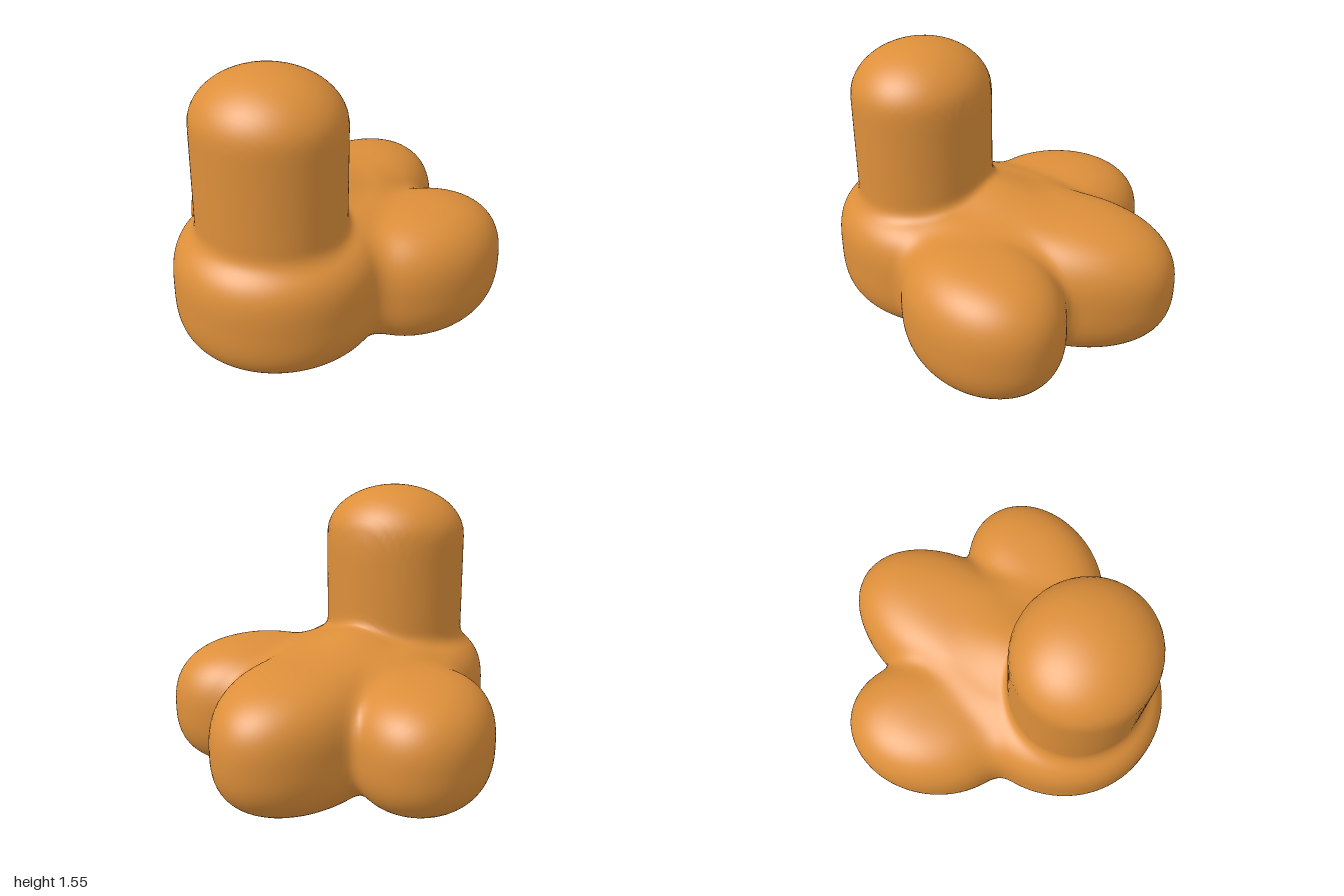
import * as THREE from 'three';
import { mergeVertices } from 'three/addons/utils/BufferGeometryUtils.js';

// Rounded lobes of the base: centre, radii, turn about y, and squareness of the upright section
const lobes = [
  { c: [0, 0.355, 0.4], r: [0.57, 0.375, 0.6], turn: 0, n: 3.3 },         // front
  { c: [0, 0.34, -0.35], r: [0.42, 0.385, 0.65], turn: 0, n: 2.7 },       // back
  { c: [0.555, 0.33, -0.12], r: [0.385, 0.365, 0.5], turn: 0.45, n: 2.6 },  // left
  { c: [-0.555, 0.335, -0.12], r: [0.39, 0.345, 0.49], turn: -0.45, n: 2.6 }, // right
  { c: [0, 0.36, 0.05], r: [0.45, 0.36, 0.5], turn: 0, n: 4 },            // core
  { c: [0, 0.36, 0.1], r: [0.35, 0.43, 0.5], turn: 0, n: 2 },             // slope behind the column
];

// Approximate distance to one lobe
function lobeDistance(p, { c, r, turn, n }) {
  const x = p.x - c[0], z = p.z - c[2];
  const cos = Math.cos(turn), sin = Math.sin(turn);
  const plan = Math.hypot((x * cos + z * sin) / r[0], (z * cos - x * sin) / r[2]);
  const up = Math.abs(p.y - c[1]) / r[1];
  return (Math.pow(plan ** n + up ** n, 1 / n) - 1) * Math.min(...r);
}

// Upright round column with a low domed top
function columnDistance(p) {
  const plan = Math.hypot(p.x / 0.405, (p.z - 0.49) / 0.38);
  const end = (Math.max(p.y - 1.275, 0) + Math.min(p.y - 0.45, 0)) / 0.282;
  return (Math.hypot(plan, end) - 1) * 0.38;
}

// Union with a soft fillet of size k
function blend(a, b, k) {
  const h = Math.max(k - Math.abs(a - b), 0) / k;
  return Math.min(a, b) - h * h * k * 0.25;
}

function bodyDistance(p) {
  let d = lobeDistance(p, lobes[0]);
  for (let i = 1; i < lobes.length; i++) d = blend(d, lobeDistance(p, lobes[i]), 0.07);
  return blend(d, columnDistance(p), 0.05);
}

// Push every vertex of a sphere outward until it reaches the blended surface
function bodyGeometry() {
  const sphere = new THREE.IcosahedronGeometry(1, 40);
  sphere.deleteAttribute('uv');
  sphere.deleteAttribute('normal');
  const geometry = mergeVertices(sphere, 1e-5);
  const pos = geometry.attributes.position;
  const centre = new THREE.Vector3(0, 0.36, 0.3);
  const dir = new THREE.Vector3(), p = new THREE.Vector3();
  const at = (t) => bodyDistance(p.copy(centre).addScaledVector(dir, t));
  for (let i = 0; i < pos.count; i++) {
    dir.fromBufferAttribute(pos, i).normalize();
    let near = 0, far = 0.02;
    while (far < 2 && at(far) < 0) { near = far; far += 0.02; }
    for (let k = 0; k < 14; k++) {
      const mid = (near + far) / 2;
      if (at(mid) < 0) near = mid; else far = mid;
    }
    p.copy(centre).addScaledVector(dir, near);
    pos.setXYZ(i, p.x, Math.max(p.y, 0.005), p.z);
  }
  geometry.computeVertexNormals();
  return geometry;
}

export function createModel() {
  const orange = new THREE.MeshStandardMaterial({ color: 0xdd8f3a });
  orange.name = 'orange';
  const body = new THREE.Mesh(bodyGeometry(), orange);
  body.name = 'lobedBodyWithColumn';
  const group = new THREE.Group();
  group.name = 'fourLobedBlock';
  group.add(body);
  return group;
}
